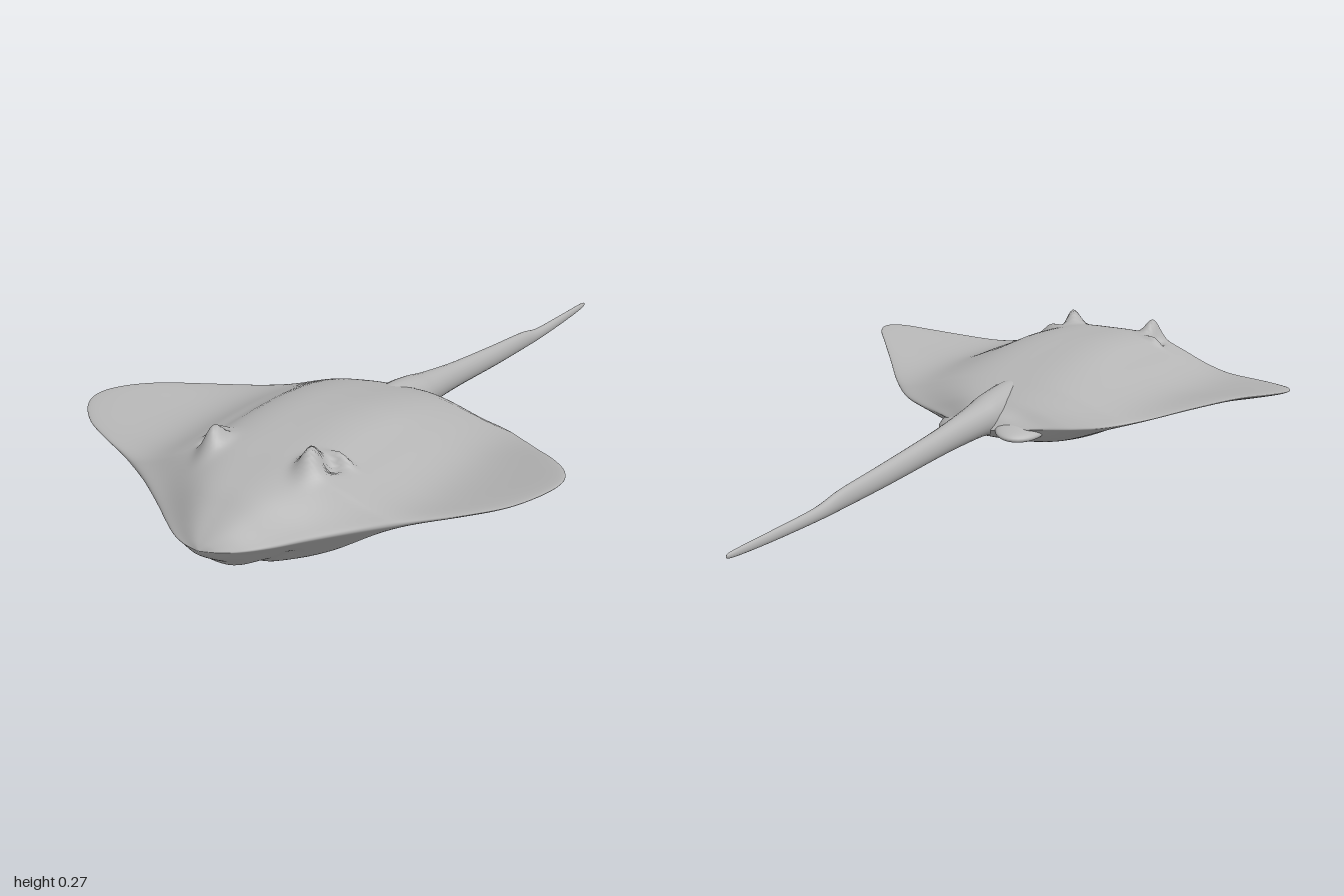
import * as THREE from 'three';

// Smooth interpolation between the rows of a station table
function resample(table, sub) {
  const rows = [];
  const n = table.length;
  const at = (i) => table[Math.min(n - 1, Math.max(0, i))];
  for (let i = 0; i < n - 1; i++) {
    for (let k = 0; k < sub; k++) {
      const t = k / sub;
      rows.push(at(i).map((b, c) => {
        const a = at(i - 1)[c], d = at(i + 1)[c], e = at(i + 2)[c];
        return b + 0.5 * t * (d - a + t * (2 * a - 5 * b + 4 * d - e + t * (3 * (b - d) + e - a)));
      }));
    }
  }
  rows.push(at(n - 1));
  return rows;
}

// Skin closed rings (anticlockwise seen from +z) running from front to back
function loft(rings) {
  const m = rings[0].length;
  const index = [];
  for (let i = 0; i < rings.length - 1; i++) {
    for (let j = 0; j < m; j++) {
      const a = i * m + j, b = i * m + (j + 1) % m;
      index.push(a, a + m, b, b, a + m, b + m);
    }
  }
  const geo = new THREE.BufferGeometry();
  geo.setAttribute('position', new THREE.Float32BufferAttribute(rings.flat(2), 3));
  geo.setIndex(index);
  geo.computeVertexNormals();
  return geo;
}

const blob = (x, z, cx, cz, rx, rz) => Math.exp(-(((x - cx) / rx) ** 2) - ((z - cz) / rz) ** 2);

// Disc stations: z, half width, edge height, top height, bottom height
const DISC = [
  [0.997, 0.002, 0.100, 0.101, 0.099],
  [0.985, 0.045, 0.101, 0.115, 0.085],
  [0.960, 0.090, 0.103, 0.136, 0.066],
  [0.920, 0.140, 0.108, 0.163, 0.045],
  [0.870, 0.200, 0.118, 0.192, 0.024],
  [0.800, 0.290, 0.132, 0.217, 0.004],
  [0.740, 0.385, 0.148, 0.235, 0.002],
  [0.690, 0.480, 0.165, 0.243, 0.004],
  [0.640, 0.560, 0.182, 0.247, 0.004],
  [0.580, 0.614, 0.200, 0.250, 0.004],
  [0.520, 0.630, 0.208, 0.251, 0.003],
  [0.460, 0.606, 0.206, 0.248, 0.003],
  [0.390, 0.547, 0.194, 0.241, 0.004],
  [0.300, 0.465, 0.167, 0.225, 0.012],
  [0.210, 0.384, 0.140, 0.204, 0.028],
  [0.140, 0.308, 0.122, 0.182, 0.045],
  [0.100, 0.235, 0.113, 0.166, 0.058],
  [0.070, 0.155, 0.107, 0.150, 0.070],
  [0.040, 0.090, 0.102, 0.136, 0.082],
  [0.010, 0.020, 0.100, 0.110, 0.095],
];

function discRing([z, w, edge, top, bottom], half = 60) {
  const ring = [];
  const core = Math.min(0.26, 0.75 * w);
  for (let j = 0; j < half * 4; j++) {
    const a = (j / (half * 4)) * Math.PI * 2;
    const u = Math.abs(Math.cos(a)), x = w * Math.cos(a), ax = Math.abs(x);
    // Central hump fading into thin wings with a rounded rim
    const rim = Math.sqrt(Math.max(0, 1 - u ** 6));
    const g = (0.1 + 0.9 * Math.exp(-((ax / core) ** 3))) * rim;
    // Wings curl upward, a little less on the right side
    let y = 0.1 + (edge - 0.1) * u * u;
    if (x < 0) y -= 0.036 * (ax / 0.63) ** 3;
    if (j < half * 2) {
      y += (top - 0.1) * g;
      // Eyes, with a breathing hole and its raised rim behind each
      y += rim * (0.046 * blob(ax, z, 0.128, 0.742, 0.023, 0.036)
        - 0.022 * blob(ax, z, 0.158, 0.712, 0.016, 0.022)
        + 0.018 * blob(ax, z, 0.165, 0.675, 0.026, 0.012));
      // Shallow furrows beside the spine
      y -= rim * 0.006 * blob(ax, z, 0.19, 0.55, 0.03, 0.15);
    } else {
      y += (bottom - 0.1) * g;
      // Mouth hollow with a nose flap in front and a chin behind
      y += rim * (0.026 * blob(ax, z, 0, 0.865, 0.07, 0.022)
        + 0.012 * blob(ax, z, 0.13, 0.84, 0.03, 0.03)
        - 0.01 * blob(ax, z, 0, 0.905, 0.06, 0.018));
    }
    ring.push([x, y, z]);
  }
  return ring;
}

// Tail stations: z, half width, top height, bottom height
const TAIL = [
  [0.26, 0.030, 0.190, 0.090],
  [0.16, 0.046, 0.194, 0.080],
  [0.06, 0.048, 0.180, 0.076],
  [0.00, 0.040, 0.167, 0.078],
  [-0.10, 0.030, 0.150, 0.074],
  [-0.20, 0.025, 0.135, 0.068],
  [-0.40, 0.020, 0.111, 0.053],
  [-0.58, 0.015, 0.091, 0.043],
  [-0.68, 0.012, 0.072, 0.039],
  [-0.85, 0.008, 0.062, 0.037],
  [-0.98, 0.005, 0.055, 0.040],
  [-1.00, 0.000, 0.048, 0.048],
];

function tailRing([z, w, top, bottom], sides = 24) {
  return Array.from({ length: sides }, (_, j) => {
    const a = (j / sides) * Math.PI * 2;
    return [w * Math.cos(a), (top + bottom) / 2 + ((top - bottom) / 2) * Math.sin(a), z];
  });
}

export function createModel() {
  const skin = new THREE.MeshStandardMaterial({ color: 0xb4b4b4 });
  skin.name = 'greySkin';
  const model = new THREE.Group();
  model.name = 'stingray';
  const add = (name, geo) => {
    const mesh = new THREE.Mesh(geo, skin);
    mesh.name = name;
    model.add(mesh);
    return mesh;
  };

  add('bodyDisc', loft(resample(DISC, 8).map((s) => discRing(s))));
  add('tail', loft(resample(TAIL, 5).map((s) => tailRing(s))));

  // Small pelvic fins either side of the tail root
  for (const side of [1, -1]) {
    const fin = add(side > 0 ? 'leftPelvicFin' : 'rightPelvicFin', new THREE.SphereGeometry(1, 32, 20));
    fin.scale.set(0.056, 0.018, 0.082);
    fin.position.set(side * 0.092, 0.1, 0.08);
    fin.rotation.set(-0.12, side * 0.2, side * -0.25);
  }
  return model;
}
